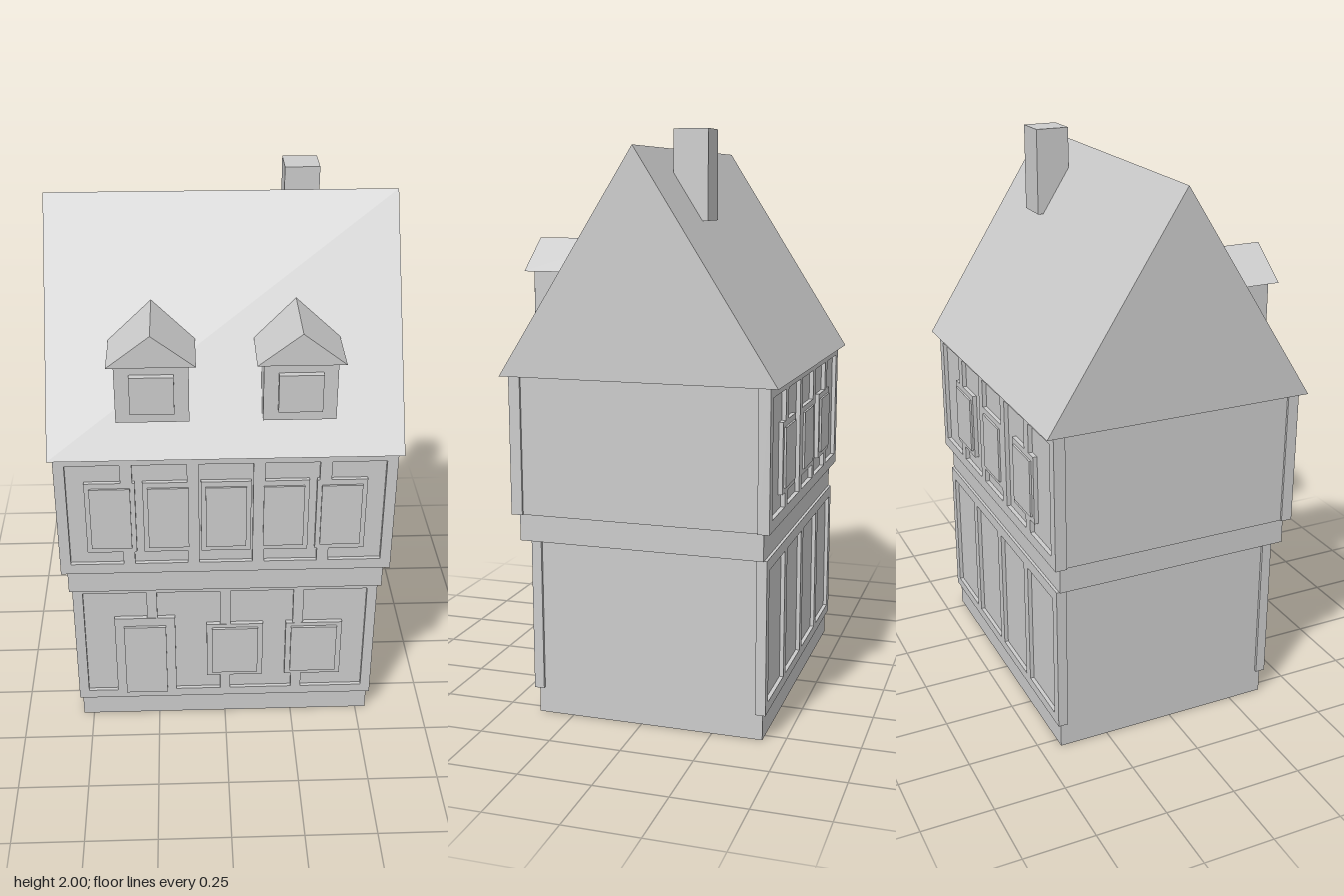
import * as THREE from 'three';

const plaster = new THREE.MeshStandardMaterial({ color: 0xcccccc });
plaster.name = 'pale grey';

function add(parent, name, geometry) {
  const mesh = new THREE.Mesh(geometry, plaster);
  mesh.name = name;
  parent.add(mesh);
  return mesh;
}

// Box given by its limits on each axis
function block(parent, name, [x0, x1], [y0, y1], [z0, z1]) {
  const mesh = add(parent, name, new THREE.BoxGeometry(x1 - x0, y1 - y0, z1 - z0));
  mesh.position.set((x0 + x1) / 2, (y0 + y1) / 2, (z0 + z1) / 2);
  return mesh;
}

function outline(Type, x0, x1, y0, y1) {
  const s = new Type();
  s.moveTo(x0, y0);
  s.lineTo(x1, y0);
  s.lineTo(x1, y1);
  s.lineTo(x0, y1);
  s.closePath();
  return s;
}

// Timber frame: a flat plate with a row of equal rectangular openings
function timberFrame(parent, name, halfWidth, [y0, y1], [z0, z1], count, inner, [p0, p1], post) {
  const shape = outline(THREE.Shape, -halfWidth, halfWidth, y0, y1);
  const w = (2 * inner - post * (count - 1)) / count;
  for (let i = 0; i < count; i++) {
    const x = -inner + i * (w + post);
    shape.holes.push(outline(THREE.Path, x, x + w, p0, p1));
  }
  const mesh = add(parent, name, new THREE.ExtrudeGeometry(shape, { depth: z1 - z0, bevelEnabled: false }));
  mesh.position.z = z0;
}

// Window or door: a surround with a slightly raised pane; z values run outward
function opening(parent, name, x, outerW, [oy0, oy1], innerW, [iy0, iy1], back, face, raised) {
  const group = new THREE.Group();
  group.name = name;
  const span = (a, b) => [Math.min(a, b), Math.max(a, b)];
  block(group, 'surround', [x - outerW / 2, x + outerW / 2], [oy0, oy1], span(back, face));
  block(group, 'pane', [x - innerW / 2, x + innerW / 2], [iy0, iy1], span(back, raised));
  parent.add(group);
}

// Gabled prism with its ridge along z
function gable(parent, name, halfWidth, y0, y1, z0, z1) {
  const s = new THREE.Shape();
  s.moveTo(-halfWidth, y0);
  s.lineTo(halfWidth, y0);
  s.lineTo(0, y1);
  s.closePath();
  const geo = new THREE.ExtrudeGeometry(s, { depth: z1 - z0, bevelEnabled: false });
  geo.translate(0, 0, z0);
  return add(parent, name, geo);
}

export function createModel() {
  const house = new THREE.Group();
  house.name = 'townHouse';

  // Stacked storeys
  block(house, 'plinth', [-0.538, 0.538], [0, 0.09], [-0.425, 0.375]);
  block(house, 'groundFloor', [-0.538, 0.538], [0.09, 0.62], [-0.423, 0.376]);
  block(house, 'floorBeam', [-0.555, 0.555], [0.62, 0.715], [-0.427, 0.428]);
  block(house, 'upperFloor', [-0.567, 0.567], [0.715, 1.19], [-0.435, 0.435]);

  // Timber frames, front and back
  const groundY = [0.09, 0.62], upperY = [0.715, 1.19];
  const groundPanel = [0.125, 0.58], upperPanel = [0.755, 1.155];
  timberFrame(house, 'groundFrameFront', 0.548, groundY, [0.355, 0.39], 4, 0.512, groundPanel, 0.037);
  timberFrame(house, 'groundFrameBack', 0.548, groundY, [-0.437, -0.402], 4, 0.512, groundPanel, 0.037);
  timberFrame(house, 'upperFrameFront', 0.575, upperY, [0.41, 0.45], 5, 0.538, upperPanel, 0.04);
  timberFrame(house, 'upperFrameBack', 0.575, upperY, [-0.45, -0.41], 5, 0.538, upperPanel, 0.04);

  // Door and ground floor windows
  opening(house, 'door', -0.293, 0.22, [0.125, 0.465], 0.153, [0.122, 0.43], 0.36, 0.392, 0.402);
  for (const x of [0.035, 0.325]) {
    opening(house, 'groundWindow', x, 0.206, [0.19, 0.43], 0.168, [0.21, 0.415], 0.36, 0.392, 0.402);
  }

  // Upper floor windows: five in front, three behind
  for (let i = -2; i <= 2; i++) {
    opening(house, 'upperWindow', i * 0.196, 0.17, [0.805, 1.085], 0.138, [0.825, 1.065], 0.42, 0.45, 0.457);
  }
  for (let i = -1; i <= 1; i++) {
    opening(house, 'rearWindow', i * 0.3, 0.19, [0.805, 1.05], 0.155, [0.825, 1.03], -0.42, -0.45, -0.457);
  }

  // Main roof, ridge along x, and chimney
  gable(house, 'roof', 0.477, 1.19, 1.94, -0.59, 0.59).rotation.y = Math.PI / 2;
  block(house, 'chimney', [0.213, 0.331], [1.7, 2], [-0.172, -0.052]);

  // Dormers
  for (const x of [-0.24, 0.24]) {
    const dormer = new THREE.Group();
    dormer.name = 'dormer';
    dormer.position.x = x;
    block(dormer, 'dormerWall', [-0.12, 0.12], [1.315, 1.526], [0.22, 0.443]);
    block(dormer, 'dormerWindow', [-0.072, 0.072], [1.355, 1.488], [0.42, 0.465]);
    gable(dormer, 'dormerRoof', 0.143, 1.526, 1.636, 0.15, 0.47);
    house.add(dormer);
  }
  return house;
}
